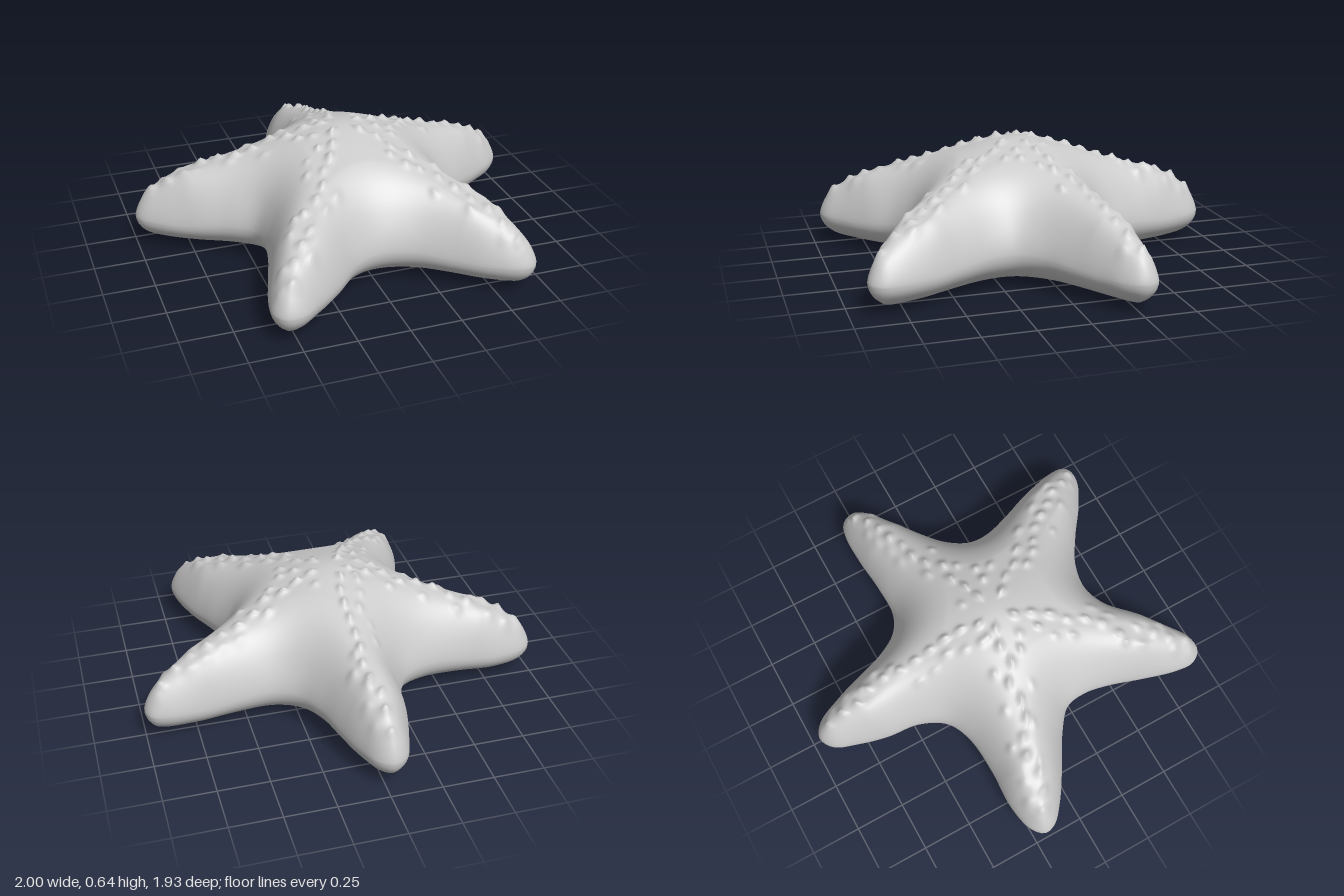
import * as THREE from 'three';

// Plan outline of the five arms (x, z), starting at the rear tip
const OUTLINE = [
  -0.03, -0.965, 0.04, -0.925, 0.1, -0.8, 0.15, -0.65, 0.2, -0.5, 0.27, -0.39, 0.37, -0.335,
  0.55, -0.33, 0.75, -0.345, 0.9, -0.345, 0.975, -0.32, 0.998, -0.25, 0.945, -0.17, 0.83, -0.09,
  0.7, 0, 0.58, 0.1, 0.52, 0.2, 0.52, 0.3, 0.57, 0.45, 0.64, 0.62, 0.685, 0.78, 0.685, 0.86,
  0.645, 0.905, 0.575, 0.905, 0.45, 0.84, 0.3, 0.73, 0.15, 0.64, 0, 0.61, -0.12, 0.65, -0.24, 0.76,
  -0.37, 0.87, -0.48, 0.95, -0.56, 0.955, -0.605, 0.9, -0.6, 0.8, -0.55, 0.62, -0.5, 0.45,
  -0.48, 0.32, -0.5, 0.21, -0.6, 0.12, -0.75, 0.03, -0.9, -0.07, -0.985, -0.15, -0.998, -0.21,
  -0.94, -0.265, -0.8, -0.295, -0.6, -0.29, -0.4, -0.31, -0.28, -0.37, -0.21, -0.5,
  -0.19, -0.65, -0.15, -0.8, -0.1, -0.925,
];
const TIPS = [[-0.03, -0.95], [0.97, -0.27], [0.64, 0.88], [-0.55, 0.93], [-0.97, -0.2]];
const CX = 0, CZ = 0.05;
const SIDES = 340, TOP_RINGS = 72, BASE_RINGS = 24;
const { clamp, lerp, smoothstep } = THREE.MathUtils;

let seed = 11;
const rand = () => (seed = (seed * 16807) % 2147483647) / 2147483647;

function outlinePoints() {
  const pts = [];
  for (let i = 0; i < OUTLINE.length; i += 2) pts.push(new THREE.Vector3(OUTLINE[i], 0, OUTLINE[i + 1]));
  return new THREE.CatmullRomCurve3(pts, true).getSpacedPoints(SIDES).slice(0, SIDES);
}

// Distance from a plan position to the outline: the shortest one (near),
// and one averaged over the whole outline (soft), which rounds the ridges
function edgeDistance(x, z, pts) {
  let best = Infinity, sum = 0;
  for (let i = 0; i < SIDES; i++) {
    const a = pts[i], b = pts[(i + 1) % SIDES];
    const dx = b.x - a.x, dz = b.z - a.z, len2 = dx * dx + dz * dz;
    const t = clamp(((x - a.x) * dx + (z - a.z) * dz) / len2, 0, 1);
    best = Math.min(best, (a.x + t * dx - x) ** 2 + (a.z + t * dz - z) ** 2);
    const mid = ((a.x + b.x) / 2 - x) ** 2 + ((a.z + b.z) / 2 - z) ** 2;
    sum += Math.sqrt(len2) / Math.max(mid * mid, 1e-12);
  }
  const near = Math.sqrt(best);
  const soft = Math.cbrt(Math.PI / 2 / sum);
  return { near, soft: lerp(near, soft, smoothstep(near, 0.02, 0.08)) };
}

// Small spines: a wandering row on each ridge and a few on its flanks
function makeSpines() {
  const spines = [];
  for (const [tx, tz] of TIPS) {
    const ax = tx - CX, az = tz - CZ, len = Math.hypot(ax, az);
    const add = (t, off, h) => spines.push({
      x: CX + ax * t - (az / len) * off, z: CZ + az * t + (ax / len) * off, h, s: 0.016 + rand() * 0.007,
    });
    for (let t = 0.1; t < 0.97; t += 0.085) {
      add(t, (rand() - 0.5) * 0.06, 0.02 + rand() * 0.012);
      const side = rand() < 0.5 ? -1 : 1;
      add(t + 0.03, side * (0.05 + rand() * 0.06) * (1.15 - t * 0.6), 0.01 + rand() * 0.012);
    }
  }
  return spines;
}

// Height of the widest line, a little higher between the arms
const rimHeight = (r) => 0.18 - 0.03 * smoothstep(r, 0.5, 0.85);

// Upper side: ridged arms with rounded crowns and a broad, soft summit
function topHeight(x, z, d, spines) {
  const r = Math.hypot(x - CX, z - CZ), rim = rimHeight(r);
  const ridge = 0.675 - 0.36 * Math.sqrt(r * r + 0.018);
  const u = Math.min(1, d / Math.max(0.1, 0.36 - 0.34 * r));
  const arc = u * (2 - u);
  let y = rim + (ridge - rim) * (0.48 * Math.sqrt(arc) + 0.27 * arc + 0.25 * u);
  const fade = Math.min(1, d / 0.04);
  for (const p of spines) {
    const q = ((x - p.x) ** 2 + (z - p.z) ** 2) / (p.s * p.s);
    if (q < 9) y += p.h * fade * Math.exp(-q);
  }
  return y;
}

// Underside: gently rounded rim and a hollow middle
function baseHeight(x, z, d) {
  const r = Math.hypot(x - CX, z - CZ);
  const u = Math.min(1, d / 0.28);
  return rimHeight(r) * (1 - Math.sqrt(u * (2 - u))) + 0.05 * Math.exp(-((r / 0.3) ** 2));
}

function bodyGeometry() {
  const pts = outlinePoints(), spines = makeSpines();
  const pos = [], index = [];
  const rings = TOP_RINGS + BASE_RINGS;

  // Top centre, rings out to the rim, rings back in below, bottom centre
  const centre = edgeDistance(CX, CZ, pts);
  pos.push(CX, topHeight(CX, CZ, centre.soft, spines), CZ);
  for (let i = 1; i < rings; i++) {
    const top = i <= TOP_RINGS;
    const v = top ? i / TOP_RINGS : (rings - i) / BASE_RINGS;
    const s = Math.sin(v * Math.PI / 2);
    for (const p of pts) {
      const x = CX + (p.x - CX) * s, z = CZ + (p.z - CZ) * s;
      const d = edgeDistance(x, z, pts);
      pos.push(x, top ? topHeight(x, z, d.soft, spines) : baseHeight(x, z, d.near), z);
    }
  }
  pos.push(CX, baseHeight(CX, CZ, centre.near), CZ);

  const last = pos.length / 3 - 1;
  const at = (i, j) => 1 + (i - 1) * SIDES + (j % SIDES);
  for (let j = 0; j < SIDES; j++) {
    index.push(0, at(1, j + 1), at(1, j));
    for (let i = 1; i < rings - 1; i++) {
      const a = at(i, j), b = at(i, j + 1), c = at(i + 1, j + 1), d = at(i + 1, j);
      index.push(a, b, c, a, c, d);
    }
    index.push(at(rings - 1, j), at(rings - 1, j + 1), last);
  }

  const geo = new THREE.BufferGeometry();
  geo.setAttribute('position', new THREE.Float32BufferAttribute(pos, 3));
  geo.setIndex(index);
  // Stand on the ground, centred
  geo.computeBoundingBox();
  const { min, max } = geo.boundingBox;
  geo.translate(-(min.x + max.x) / 2, -min.y, -(min.z + max.z) / 2);
  geo.computeVertexNormals();
  return geo;
}

export function createModel() {
  const group = new THREE.Group();
  group.name = 'starfish';
  const body = new THREE.Mesh(bodyGeometry(), new THREE.MeshStandardMaterial({ color: 0xcccccc }));
  body.name = 'starfishBody';
  group.add(body);
  return group;
}
